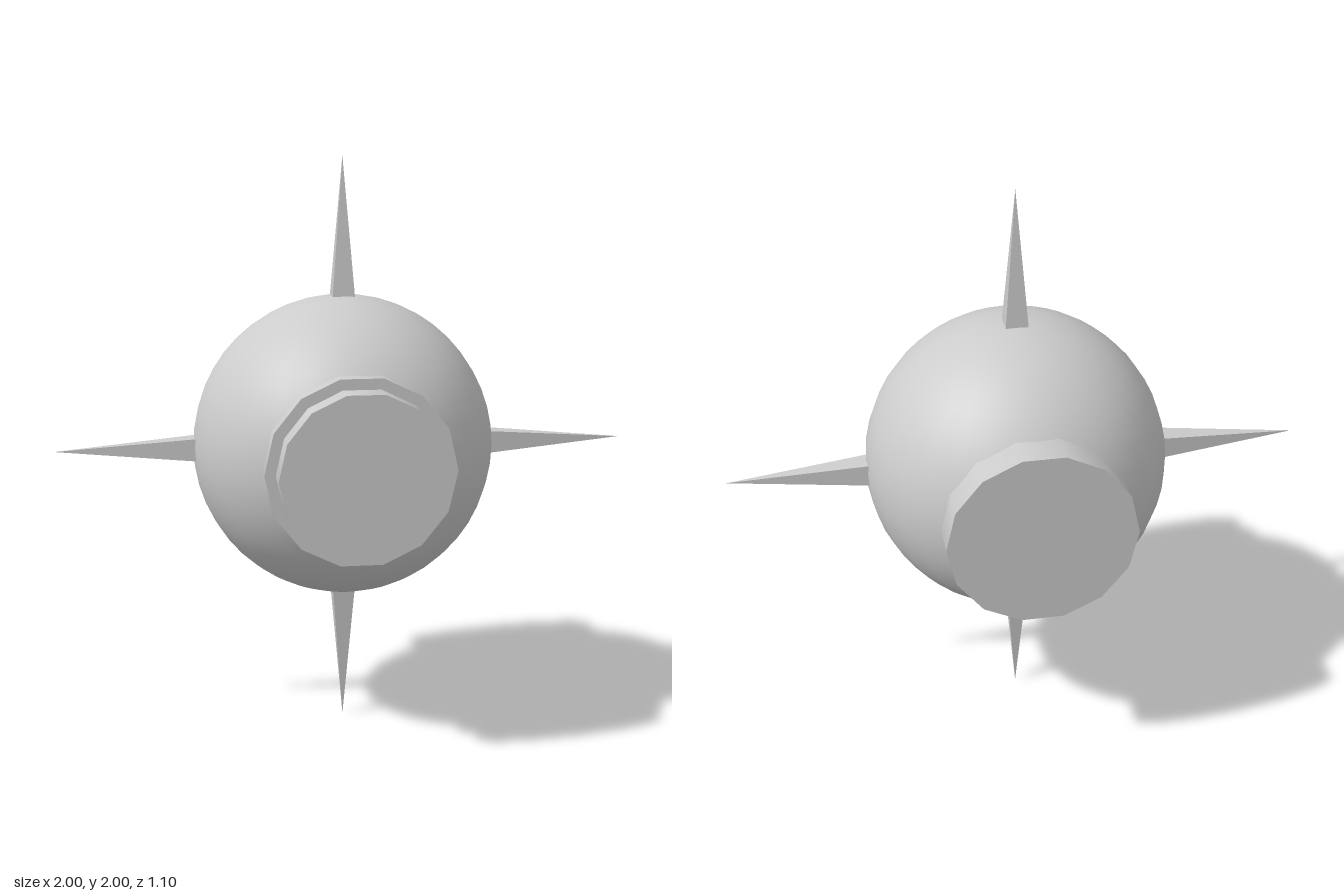
import * as THREE from 'three';

const CENTER_Z = -0.02;

export function createModel() {
  const model = new THREE.Group();
  const smooth = new THREE.MeshStandardMaterial({ color: 0xcccccc });
  const flat = new THREE.MeshStandardMaterial({ color: 0xcccccc, flatShading: true });

  const add = (name, geometry, material, x, y, z) => {
    const mesh = new THREE.Mesh(geometry, material);
    mesh.name = name;
    mesh.position.set(x, y, z);
    model.add(mesh);
    return mesh;
  };

  // Round body
  add('body', new THREE.SphereGeometry(0.522, 32, 24), smooth, 0, 1.004, CENTER_Z);

  // Fourteen-sided drums along z, flat on top and bottom
  const drum = (name, radius, back, front) => {
    const length = front - back;
    const geometry = new THREE.CylinderGeometry(radius, radius, length, 14, 1, false, Math.PI / 2);
    geometry.rotateX(Math.PI / 2);
    add(name, geometry, smooth, 0, 1.002, (front + back) / 2);
  };
  drum('rearDrum', 0.318, -0.55, -0.36);
  drum('frontCollar', 0.318, 0.32, 0.455);
  drum('frontDrum', 0.281, 0.4, 0.55);

  // Four square spikes pointing up, right, down and left
  const base = 0.48, tip = 1;
  const spike = new THREE.ConeGeometry(0.042 * Math.SQRT2, tip - base, 4);
  spike.rotateY(Math.PI / 4);
  spike.translate(0, (tip + base) / 2, 0);
  ['topSpike', 'rightSpike', 'bottomSpike', 'leftSpike'].forEach((name, i) => {
    add(name, spike, flat, 0, 1, CENTER_Z).rotation.z = i * Math.PI / 2 * -1 + (i % 2 ? Math.PI : 0);
  });

  return model;
}
